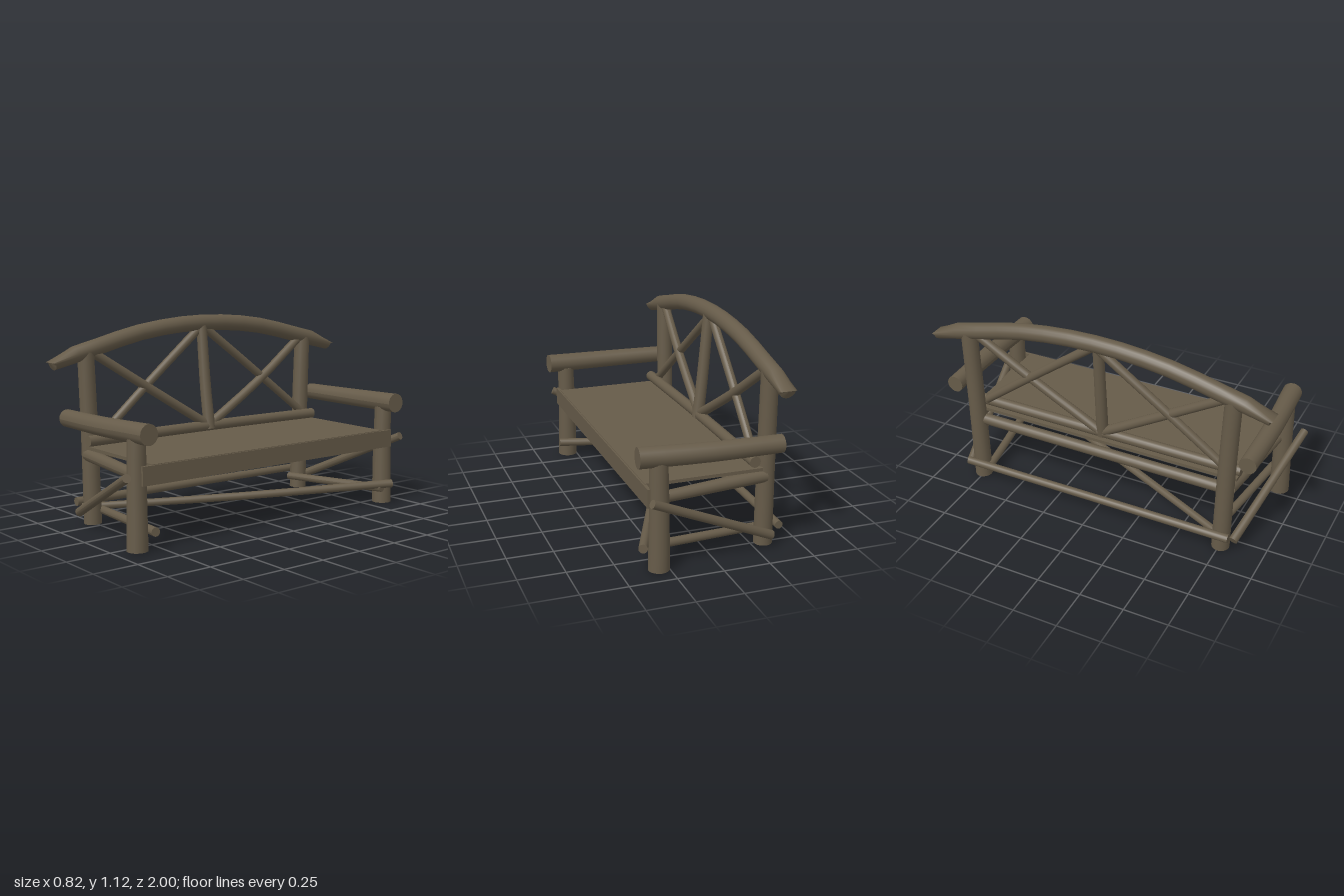
import * as THREE from 'three';

const wood = new THREE.MeshStandardMaterial({ color: 0x665b49 });
wood.name = 'weathered wood';

const UP = new THREE.Vector3(0, 1, 0);

// A capped, tapering log that follows a smooth path
function log(name, points, r0, r1 = r0, segments = 6, sides = 18) {
  const curve = new THREE.CatmullRomCurve3(points.map((p) => new THREE.Vector3(...p)));
  const geometry = new THREE.CylinderGeometry(1, 1, 1, sides, segments);
  const pos = geometry.attributes.position;
  const v = new THREE.Vector3();
  const turn = new THREE.Quaternion();
  for (let i = 0; i < pos.count; i++) {
    const t = THREE.MathUtils.clamp(pos.getY(i) + 0.5, 0, 1);
    const r = THREE.MathUtils.lerp(r0, r1, t);
    turn.setFromUnitVectors(UP, curve.getTangentAt(t));
    v.set(pos.getX(i) * r, 0, pos.getZ(i) * r).applyQuaternion(turn).add(curve.getPointAt(t));
    pos.setXYZ(i, v.x, v.y, v.z);
  }
  geometry.computeVertexNormals();
  const mesh = new THREE.Mesh(geometry, wood);
  mesh.name = name;
  return mesh;
}

function board(name, size, position) {
  const mesh = new THREE.Mesh(new THREE.BoxGeometry(...size), wood);
  mesh.name = name;
  mesh.position.set(...position);
  return mesh;
}

// Arched top rail with the upper side of each tip cut flat
function topRail() {
  const half = [[0.985, 0.908], [0.78, 0.955], [0.4, 1.042]];
  const points = [
    ...half.map(([z, y]) => [-0.32, y, -z]),
    [-0.32, 1.073, 0],
    ...half.reverse().map(([z, y]) => [-0.32, y, z]),
  ];
  const rail = log('topRail', points, 0.046, 0.046, 14);
  const pos = rail.geometry.attributes.position;
  for (let i = 0; i < pos.count; i++) {
    if (Math.abs(pos.getZ(i)) > 0.94 && pos.getY(i) > 0.905) {
      pos.setY(i, 0.905);
      pos.setZ(i, Math.sign(pos.getZ(i)) * 0.999);
    }
  }
  rail.geometry.computeVertexNormals();
  return rail;
}

export function createModel() {
  const bench = new THREE.Group();
  bench.name = 'logBench';

  // Seat and its supports
  bench.add(
    board('seat', [0.64, 0.018, 1.62], [0.035, 0.434, 0]),
    board('frontBoard', [0.018, 0.1, 1.755], [0.355, 0.39, -0.003]),
    log('rearSeatRail', [[-0.31, 0.385, 0.78], [-0.31, 0.385, -0.78]], 0.032),
  );

  // Both ends
  for (const s of [1, -1]) {
    const end = new THREE.Group();
    end.name = s > 0 ? 'leftEnd' : 'rightEnd';
    const tip = s > 0 ? 0.97 : 0.955;
    end.add(
      log('backPost', [[-0.32, 0, s * 0.755], [-0.32, 0.5, s * 0.765], [-0.32, 0.95, s * 0.78]], 0.05, 0.046),
      log('frontLeg', [[0.303, 0, s * 0.872], [0.3, 0.3, s * 0.87], [0.303, 0.575, s * 0.87]], 0.056, 0.048),
      log('armrest', [[-0.35, 0.596, s * 0.885], [0.03, 0.598, s * 0.885], [0.41, 0.605, s * 0.865]], 0.048, 0.055),
      log('sideSeatRail', [[-0.31, 0.388, s * 0.78], [0.3, 0.375, s * 0.85]], 0.036, 0.03),
      log('sideBrace', [[-0.335, 0.07, s * 0.83], [0.365, 0.395, s * tip]], 0.025, 0.023),
      log('sideStretcher', [[-0.34, 0.07, s * 0.7], [0.37, 0.1, s * 0.805]], 0.022, 0.024),
    );
    bench.add(end);
  }

  // Long stretchers near the ground
  bench.add(
    log('backStretcher', [[-0.385, 0.117, 0.82], [-0.385, 0.115, 0], [-0.385, 0.11, -0.81]], 0.024, 0.022),
    log('crossStretcher', [[-0.36, 0.09, 0.8], [0.0, 0.1, 0.02], [0.385, 0.122, -0.87]], 0.02, 0.024),
  );

  // Backrest
  const back = new THREE.Group();
  back.name = 'backrest';
  back.add(
    topRail(),
    log('lowerBackRail', [[-0.245, 0.475, 0.82], [-0.25, 0.478, 0], [-0.245, 0.475, -0.8]], 0.03),
    log('centrePost', [[-0.245, 0.46, 0.002], [-0.272, 0.68, 0.008], [-0.308, 1.08, 0.012]], 0.034, 0.03),
  );
  for (const s of [1, -1]) {
    back.add(
      log('outerDiagonal', [[-0.315, 0.95, s * 0.75], [-0.28, 0.72, s * 0.4 - 0.01], [-0.255, 0.49, s * 0.02]], 0.025, 0.027),
      log('innerDiagonal', [[-0.318, 1.05, s * 0.01], [-0.295, 0.79, s * 0.35], [-0.265, 0.49, s * 0.73]], 0.025, 0.023),
    );
  }
  bench.add(back);
  return bench;
}
